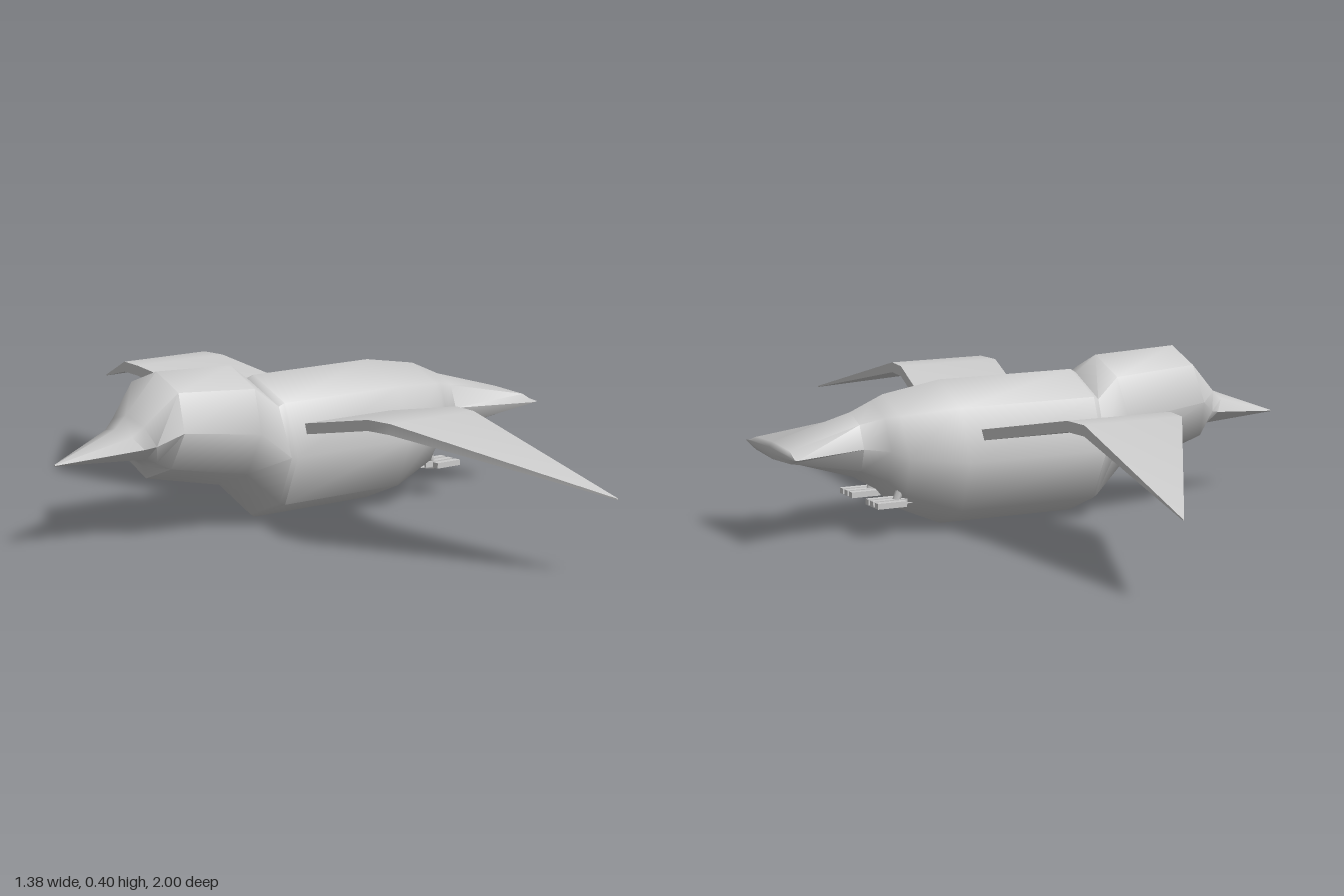
import * as THREE from 'three';
import { toCreasedNormals } from 'three/addons/utils/BufferGeometryUtils.js';

const material = new THREE.MeshStandardMaterial({ color: 0xcccccc });

// Skin a list of equal-length rings (counter-clockwise seen along the path) and cap both ends
function loft(rings, crease) {
  const n = rings[0].length, last = (rings.length - 1) * n, index = [];
  for (let i = 0; i < rings.length - 1; i++) {
    for (let j = 0; j < n; j++) {
      const a = i * n + j, b = i * n + (j + 1) % n;
      index.push(a, b, a + n, b, b + n, a + n);
    }
  }
  for (let j = 1; j < n - 1; j++) {
    index.push(0, j + 1, j, last, last + j, last + j + 1);
  }
  const geometry = new THREE.BufferGeometry();
  geometry.setAttribute('position', new THREE.Float32BufferAttribute(rings.flat(2), 3));
  geometry.setIndex(index);
  return toCreasedNormals(geometry, crease);
}

function add(parent, name, geometry) {
  const mesh = new THREE.Mesh(geometry, material);
  mesh.name = name;
  parent.add(mesh);
  return mesh;
}

// Octagonal section, slanted between its top and bottom points
function bodyRing([xTop, yTop, xBottom, yBottom, halfWidth]) {
  return Array.from({ length: 8 }, (_, j) => {
    const a = j * Math.PI / 4, t = (1 + Math.cos(a)) / 2;
    return [
      THREE.MathUtils.lerp(xBottom, xTop, t),
      THREE.MathUtils.lerp(yBottom, yTop, t),
      halfWidth * Math.sin(a),
    ];
  });
}

// Thin four-section wing with a bent elbow and a pointed tip
function wing(side) {
  // z, leading x, trailing x, bottom y, top y
  const sections = [
    [0.14, -0.063, 0.207, 0.223, 0.25],
    [0.46, -0.13, 0.142, 0.29, 0.316],
    [0.53, -0.122, 0.135, 0.29, 0.316],
    [1.0, 0.144, 0.147, 0.184, 0.187],
  ];
  const rings = sections.map(([z, lead, trail, low, high]) => {
    const ring = [[lead, low], [trail, low], [trail, high], [lead, high]]
      .map(([x, y]) => [x, y, z * side]);
    return side > 0 ? ring : ring.reverse();
  });
  return loft(rings, 0.7);
}

export function createModel() {
  const bird = new THREE.Group();
  bird.name = 'bird';

  // Beak, head, torso and fanned tail: xTop, yTop, xBottom, yBottom, half width
  const sections = [
    [-0.692, 0.207, -0.692, 0.203, 0.003],
    [-0.52, 0.27, -0.46, 0.188, 0.078],
    [-0.49, 0.3, -0.44, 0.17, 0.092],
    [-0.4, 0.395, -0.432, 0.14, 0.135],
    [-0.18, 0.386, -0.215, 0.095, 0.146],
    [-0.125, 0.345, -0.12, 0.008, 0.168],
    [-0.11, 0.355, -0.108, 0, 0.174],
    [0.25, 0.355, 0.25, 0, 0.174],
    [0.4, 0.33, 0.38, 0.055, 0.135],
    [0.43, 0.317, 0.42, 0.1, 0.108],
    [0.485, 0.293, 0.48, 0.135, 0.076],
    [0.685, 0.238, 0.685, 0.196, 0.153],
    [0.692, 0.226, 0.692, 0.212, 0.155],
  ];
  add(bird, 'body', loft(sections.map(bodyRing), 0.9));

  for (const side of [1, -1]) {
    const label = side > 0 ? 'left' : 'right';
    add(bird, label + 'Wing', wing(side));

    // Foot tucked back under the tail
    const foot = new THREE.Group();
    foot.name = label + 'Foot';
    foot.position.set(0.41, 0.081, 0.077 * side);
    bird.add(foot);
    for (const k of [-1, 0, 1]) {
      const length = k === 0 ? 0.09 : 0.075;
      const toe = add(foot, 'toe', new THREE.BoxGeometry(length, 0.014, 0.018));
      toe.position.set(0.055 - length / 2, 0, k * 0.028);
    }
    // Hind claw pointing forward
    const claw = add(foot, 'hindClaw', new THREE.ConeGeometry(0.01, 0.05, 6));
    claw.rotation.z = Math.PI / 2;
    claw.position.set(-0.03, -0.006, 0);
    const shank = add(foot, 'shank', new THREE.CylinderGeometry(0.012, 0.009, 0.07, 6));
    shank.rotation.z = 0.4;
    shank.position.set(-0.02, 0.03, 0);
  }
  return bird;
}
